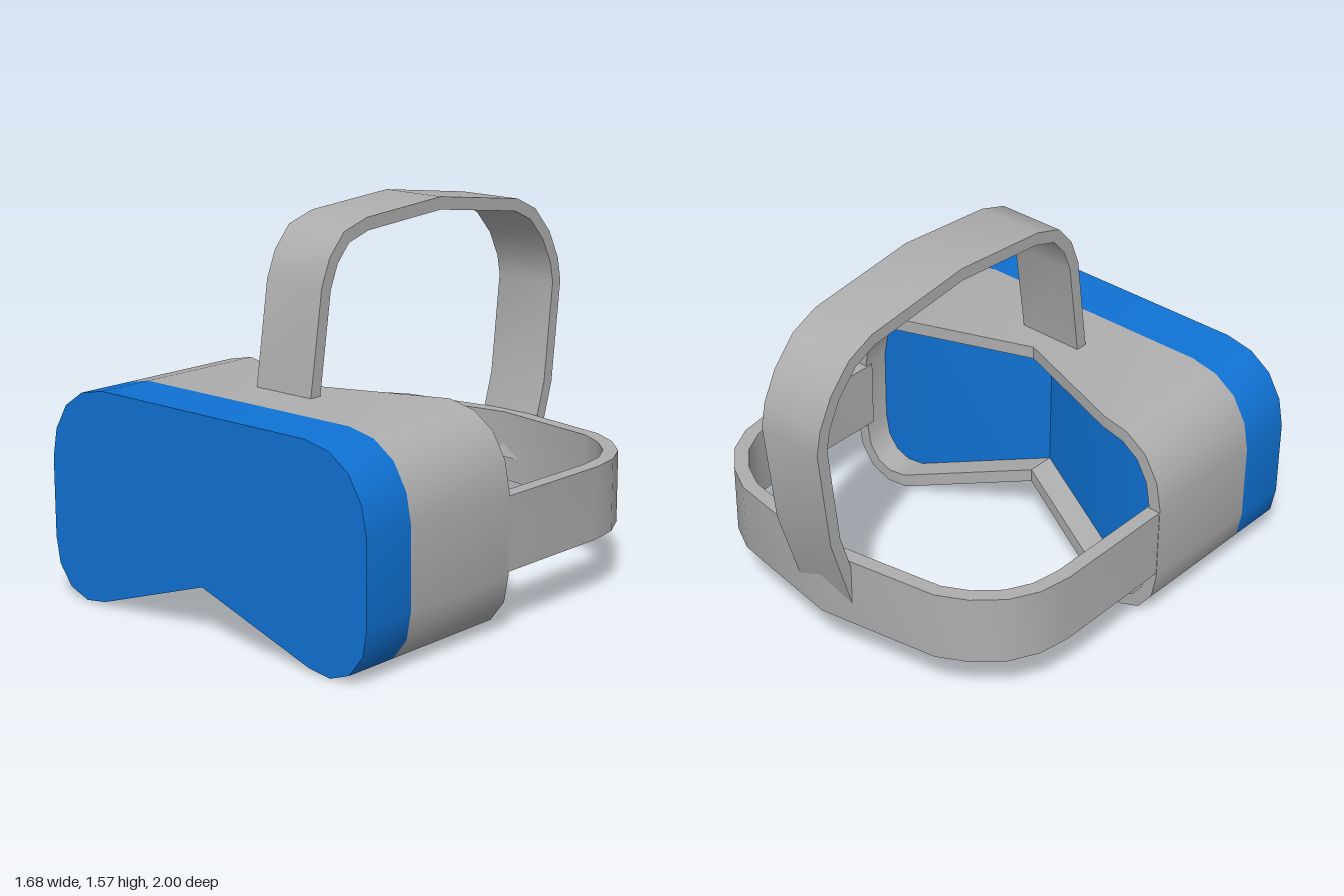
import * as THREE from 'three';
import { mergeGeometries, toCreasedNormals } from 'three/addons/utils/BufferGeometryUtils.js';

const CREASE = 0.6;
const V2 = (p) => new THREE.Vector2(p[0], p[1]);

// Mitred offset of a polyline; positive distance moves to the right of travel.
function offset(pts, d, closed) {
  const n = pts.length;
  return pts.map((p, i) => {
    const a = closed || i > 0 ? pts[(i + n - 1) % n] : null;
    const b = closed || i < n - 1 ? pts[(i + 1) % n] : null;
    const normal = (s, e) => new THREE.Vector2(e[1] - s[1], s[0] - e[0]).normalize();
    const n1 = a ? normal(a, p) : normal(p, b);
    const n2 = b ? normal(p, b) : n1;
    const k = d / (1 + n1.dot(n2));
    return [p[0] + (n1.x + n2.x) * k, p[1] + (n1.y + n2.y) * k];
  });
}

// Mirrors a half path that ends on x = 0 (or starts and ends there).
const mirrorPath = (half, keepStart) =>
  half.concat(half.slice(keepStart ? 0 : 1, -1).reverse().map(([x, y]) => [-x, y]));

// Extrudes a band of constant thickness along a path.
function bandGeometry(path, thickness, width) {
  const outline = path.concat(offset(path, -thickness, false).reverse());
  return new THREE.ExtrudeGeometry(new THREE.Shape(outline.map(V2)), { depth: width, bevelEnabled: false });
}

// Rear edge of the body: flat at the sides, V-shaped in the middle.
const rearZ = (x) => 0.19 + 0.37 * Math.max(0, 0.54 - Math.abs(x));
// Slight narrowing towards the back.
const taper = (z) => 1 - 0.012 * (1 - z);

// Skin between successive closed loops of [x, y, z] points.
function loftGeometry(rings) {
  const n = rings[0].length, index = [];
  for (let r = 0; r < rings.length - 1; r++) {
    for (let i = 0; i < n; i++) {
      const a = r * n + i, b = r * n + (i + 1) % n;
      index.push(a, b, a + n, b, b + n, a + n);
    }
  }
  const g = new THREE.BufferGeometry();
  g.setAttribute('position', new THREE.Float32BufferAttribute(rings.flat(2), 3));
  g.setIndex(index);
  return g;
}

export function createModel() {
  const model = new THREE.Group();
  model.name = 'headset';
  const grey = new THREE.MeshStandardMaterial({ color: 0xaeaeae, side: THREE.DoubleSide });
  grey.name = 'grey';
  const blue = new THREE.MeshStandardMaterial({ color: 0x0f72d4, side: THREE.DoubleSide });
  blue.name = 'blue';
  const add = (name, geometry, material) => {
    const mesh = new THREE.Mesh(toCreasedNormals(geometry, CREASE), material);
    mesh.name = name;
    model.add(mesh);
  };

  // Rounded goggle outline with a nose notch, clockwise from the top centre
  const outline = mirrorPath([
    [0, 0.88], [0.54, 0.88], [0.66, 0.855], [0.755, 0.79], [0.817, 0.685], [0.84, 0.565],
    [0.84, 0.235], [0.82, 0.125], [0.755, 0.04], [0.66, 0.005], [0.555, 0.02], [0, 0.205],
  ], false);
  const inner = offset(outline, 0.055, true);

  // Front cover
  const cover = new THREE.ExtrudeGeometry(new THREE.Shape(outline.map(V2)), { depth: 0.24, bevelEnabled: false });
  cover.translate(0, 0, 0.76);
  const cp = cover.attributes.position;
  for (let i = 0; i < cp.count; i++) cp.setX(i, cp.getX(i) * taper(cp.getZ(i)));
  add('frontCover', cover, blue);

  // Hollow body: outer wall, rear rim and inner wall
  const DEPTH = 0.12;
  const place = (pts, zOf) => pts.map(([x, y]) => {
    const z = zOf(x);
    return [x * taper(z), y, z];
  });
  add('body', loftGeometry([
    place(outline, () => 0.76),
    place(outline, rearZ),
    place(inner, rearZ),
    place(inner, (x) => rearZ(x) + DEPTH),
  ]), grey);

  // Bent panel inside the body: two middle faces and two side lobes
  const range = (a, b) => Array.from({ length: b - a + 1 }, (_, i) => a + i);
  const faces = [[0, 1, 10, 11], range(1, 10), [0, 11, 12, 21], range(12, 21)].map((ids) =>
    new THREE.ShapeGeometry(new THREE.Shape(ids.map((i) => V2(inner[i])))));
  const panel = mergeGeometries(faces);
  const pp = panel.attributes.position;
  for (let i = 0; i < pp.count; i++) {
    const x = pp.getX(i), z = rearZ(x) + DEPTH;
    pp.setXYZ(i, x * taper(z), pp.getY(i), z);
  }
  add('innerPanel', panel, blue);

  // Strap around the back of the head, drawn as [x, -z]
  const around = bandGeometry(mirrorPath([
    [0.83, -0.22], [0.83, 0.36], [0.807, 0.5], [0.745, 0.62], [0.64, 0.72], [0.52, 0.785], [0, 0.872],
  ], true), 0.06, 0.3);
  around.rotateX(-Math.PI / 2).translate(0, 0.25, 0);
  add('headStrap', around, grey);

  // Strap over the top of the head, drawn as [z, y]
  const over = bandGeometry([
    [0.552, 0.86], [0.485, 1.3], [0.44, 1.41], [0.36, 1.5], [0.23, 1.54], [-0.21, 1.57], [-0.7, 1.505],
    [-0.82, 1.45], [-0.92, 1.34], [-0.98, 1.22], [-1, 1.12], [-0.95, 0.68], [-0.845, 0.34],
  ], 0.052, 0.29);
  over.rotateY(-Math.PI / 2).translate(0.145, 0, 0);
  add('topStrap', over, grey);

  return model;
}
